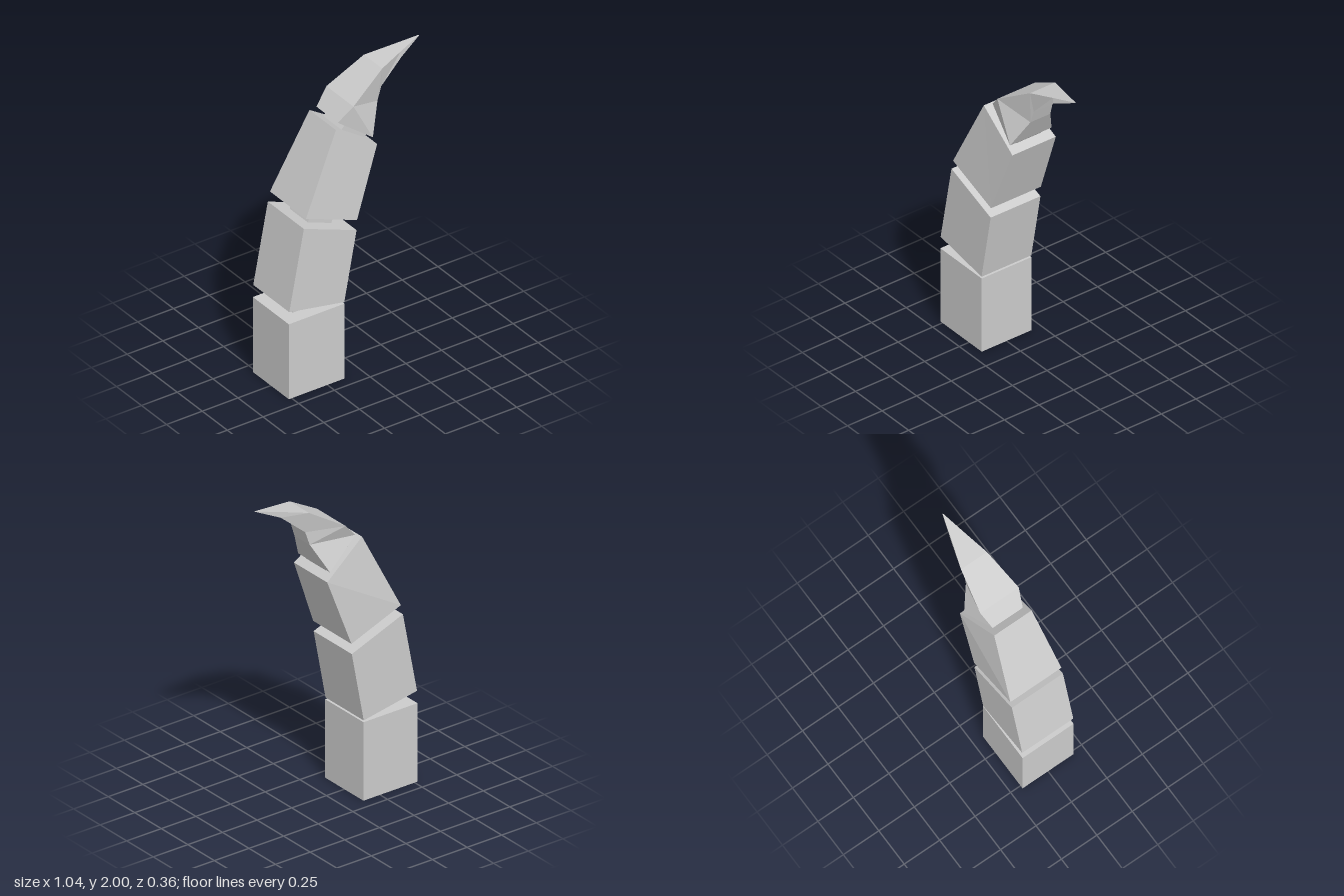
import * as THREE from 'three';

const material = new THREE.MeshStandardMaterial({ color: 0xcccccc, flatShading: true });

// Each section is a left and a right edge: [x, y, zBack, zFront].
// Consecutive four-cornered sections are joined from bottom to top.
function loft(name, sections) {
  const rings = sections.map(([l, r]) => [
    [l[0], l[1], l[2]], [l[0], l[1], l[3]],
    [r[0], r[1], r[3]], [r[0], r[1], r[2]],
  ]);
  const positions = [];
  const tri = (...corners) => corners.forEach((c) => positions.push(...c));
  const first = rings[0];
  const last = rings[rings.length - 1];

  for (let s = 0; s < rings.length - 1; s++) {
    for (let i = 0; i < 4; i++) {
      const j = (i + 1) % 4;
      const a0 = rings[s][i], b0 = rings[s][j];
      const a1 = rings[s + 1][i], b1 = rings[s + 1][j];
      tri(a0, b0, a1);
      tri(b0, b1, a1);
    }
  }
  // End caps
  tri(first[0], first[2], first[1]);
  tri(first[0], first[3], first[2]);
  tri(last[0], last[1], last[2]);
  tri(last[0], last[2], last[3]);

  const geometry = new THREE.BufferGeometry();
  geometry.setAttribute('position', new THREE.Float32BufferAttribute(positions, 3));
  geometry.computeVertexNormals();
  const mesh = new THREE.Mesh(geometry, material);
  mesh.name = name;
  return mesh;
}

// Section edge of even depth about the centre plane
const edge = (x, y, halfDepth) => [x, y, -halfDepth, halfDepth];

export function createModel() {
  const group = new THREE.Group();
  group.name = 'clawedFinger';
  const d = 0.18;
  const j = 0.09;

  group.add(
    // Finger segments
    loft('baseSegment', [
      [edge(-0.52, 0, d), edge(-0.13, 0, d)],
      [edge(-0.52, 0.507, d), edge(-0.13, 0.507, d)],
    ]),
    loft('middleSegment', [
      [edge(-0.517, 0.588, d), edge(-0.132, 0.518, d)],
      [edge(-0.415, 1.115, d), edge(-0.046, 0.974, d)],
    ]),
    loft('upperSegment', [
      [edge(-0.4, 1.178, d), edge(-0.043, 1.041, d)],
      [[-0.163, 1.673, -0.124, 0.14], [0.119, 1.482, -0.164, 0.15]],
    ]),

    // Narrow joints between the segments
    loft('lowerJoint', [
      [edge(-0.43, 0.505, j), edge(-0.245, 0.505, j)],
      [edge(-0.415, 0.572, j), edge(-0.235, 0.538, j)],
    ]),
    loft('middleJoint', [
      [edge(-0.325, 1.08, j), edge(-0.16, 1.015, j)],
      [edge(-0.3, 1.138, j), edge(-0.138, 1.078, j)],
    ]),
    loft('upperJoint', [
      [edge(-0.09, 1.62, j), edge(0.07, 1.513, j)],
      [edge(-0.065, 1.648, j), edge(0.09, 1.536, j)],
    ]),

    // Curved claw, tapering to the tip
    loft('claw', [
      [[-0.125, 1.69, -0.108, 0.105], [0.092, 1.535, -0.154, 0.146]],
      [[-0.038, 1.785, -0.133, 0.138], [0.18, 1.71, -0.078, 0.066]],
      [[0.2, 1.93, -0.098, 0.085], [0.208, 1.797, -0.072, 0.064]],
      [[0.36, 1.966, -0.048, 0.042], [0.365, 1.93, -0.046, 0.044]],
      [edge(0.516, 2, 0.002), edge(0.517, 1.998, 0.002)],
    ]),
  );
  return group;
}
